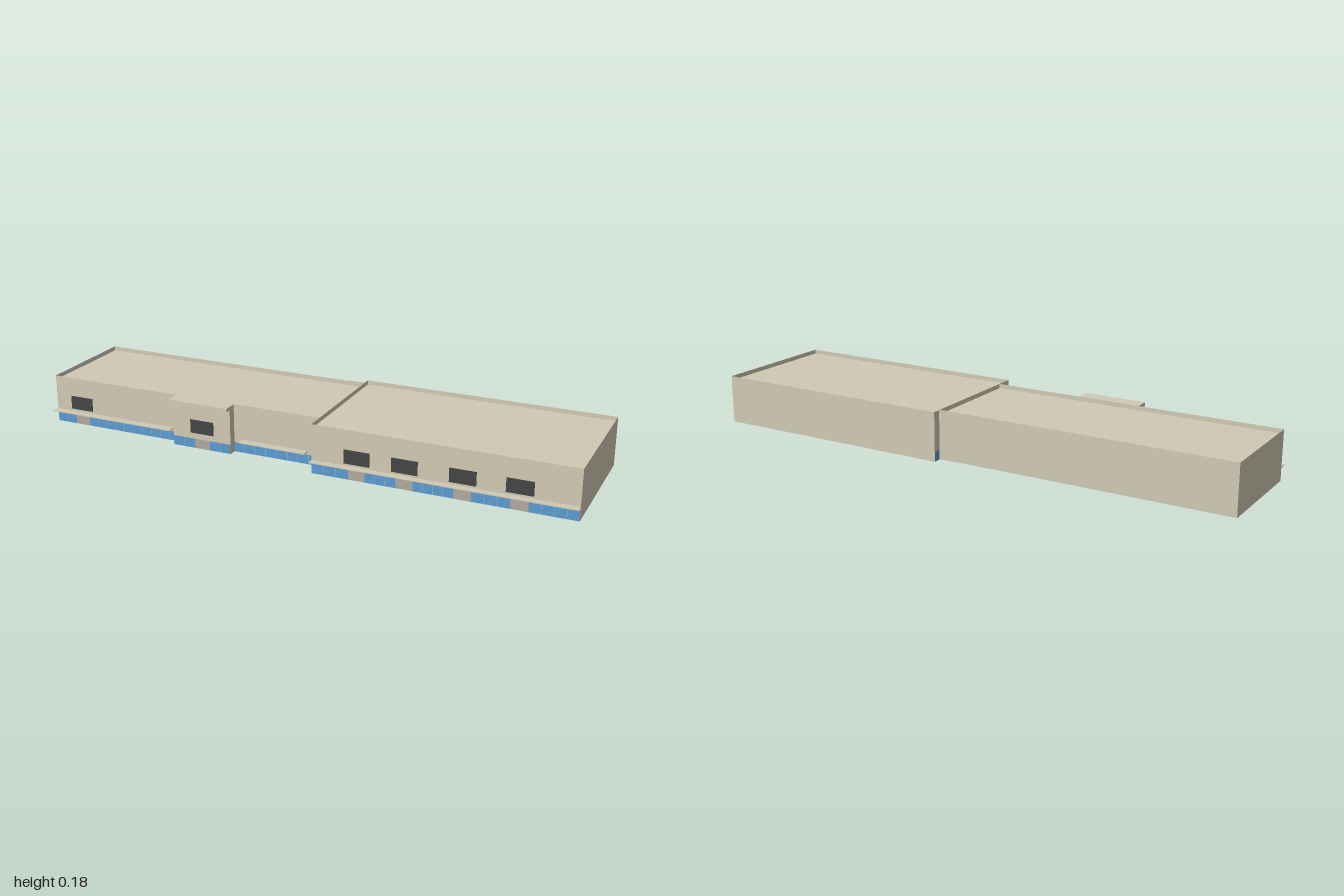
import * as THREE from 'three';

const mat = (color) => new THREE.MeshStandardMaterial({ color, side: THREE.DoubleSide });

export function createModel() {
  const root = new THREE.Group();
  const wallMat = mat(0xd0c9b3), glassMat = mat(0x5a9bd0), signMat = mat(0x444444);
  const doorMat = mat(0xb0aaa0), frameMat = mat(0x9ab4c8);
  const H = 0.178, GLASS = 0.035, ROOF = 0.162;

  function add(name, geo, material, x, y, z, parent = root) {
    const m = new THREE.Mesh(geo, material);
    m.name = name;
    m.position.set(x, y, z);
    parent.add(m);
    return m;
  }
  // Box given by its two extreme corners
  function box(name, material, x0, x1, y0, y1, z0, z1, parent) {
    return add(name, new THREE.BoxGeometry(x1 - x0, y1 - y0, z1 - z0), material,
      (x0 + x1) / 2, (y0 + y1) / 2, (z0 + z1) / 2, parent);
  }
  // Thin upright panel between two plan points, facing outward
  function panel(name, material, x0, z0, x1, z1, y0, y1, parent) {
    const m = add(name, new THREE.PlaneGeometry(Math.hypot(x1 - x0, z1 - z0), y1 - y0), material,
      (x0 + x1) / 2, (y0 + y1) / 2, (z0 + z1) / 2, parent);
    m.rotation.y = -Math.atan2(z1 - z0, x1 - x0);
    return m;
  }
  function roof(name, x0, x1, z0, z1, y, parent) {
    const m = add(name, new THREE.PlaneGeometry(x1 - x0, z1 - z0), wallMat, (x0 + x1) / 2, y, (z0 + z1) / 2, parent);
    m.rotation.x = -Math.PI / 2;
    return m;
  }
  // Front run: wall above, glazing with mullions and doors below
  function shopfront(x0, x1, z, doors, parent) {
    panel('frontWall', wallMat, x0, z, x1, z, GLASS, H, parent);
    let from = x0;
    for (const d of [...doors, null]) {
      const to = d === null ? x1 : d - 0.03;
      panel('glazing', glassMat, from, z, to, z, 0, GLASS, parent);
      const n = Math.max(1, Math.round((to - from) / 0.04));
      for (let i = 1; i < n; i++) {
        const x = from + (to - from) * i / n;
        box('mullion', frameMat, x - 0.001, x + 0.001, 0, GLASS, z - 0.0005, z + 0.0005, parent);
      }
      if (d !== null) {
        panel('door', doorMat, d - 0.03, z, d + 0.03, z, 0, GLASS, parent);
        from = d + 0.03;
      }
    }
  }
  function sign(x, z, parent) {
    box('signPanel', signMat, x - 0.046, x + 0.046, 0.057, 0.107, z - 0.001, z + 0.002, parent);
  }
  function awning(x0, x1, z0, z1, parent) {
    box('awning', wallMat, x0, x1, 0.046, 0.049, z0, z1, parent);
  }

  // Large right hand block
  const big = new THREE.Group();
  big.name = 'largeBlock';
  root.add(big);
  const bigSigns = [0.245, 0.415, 0.615, 0.805];
  shopfront(0.08, 1, 0.235, bigSigns, big);
  bigSigns.forEach((x) => sign(x, 0.235, big));
  panel('sideWall', wallMat, 1, 0.235, 1, -0.26, 0, H, big);
  panel('backWall', wallMat, 1, -0.26, 0.08, -0.26, 0, H, big);
  panel('innerSideWall', wallMat, 0.08, -0.26, 0.08, 0.235, GLASS, H, big);
  panel('sideGlazing', glassMat, 0.08, -0.26, 0.08, 0.235, 0, GLASS, big);
  for (let i = 1; i < 12; i++) {
    const z = -0.26 + 0.495 * i / 12;
    box('sideMullion', frameMat, 0.0795, 0.0805, 0, GLASS, z - 0.001, z + 0.001, big);
  }
  roof('roof', 0.08, 1, -0.26, 0.235, ROOF, big);
  awning(0.08, 1, 0.235, 0.26, big);

  // Long left hand block
  const long = new THREE.Group();
  long.name = 'longBlock';
  root.add(long);
  shopfront(-1, -0.48, 0.17, [-0.89], long);
  shopfront(-0.25, 0.08, 0.17, [], long);
  sign(-0.89, 0.17, long);
  panel('sideWall', wallMat, -1, -0.225, -1, 0.17, 0, H, long);
  panel('backWall', wallMat, 0.08, -0.225, -1, -0.225, 0, H, long);
  panel('backReturn', wallMat, 0.08, -0.23, 0.02, -0.23, 0, H, long);
  roof('roof', -1, 0.08, -0.225, 0.17, ROOF, long);
  panel('parapet', wallMat, -0.48, 0.17, -0.25, 0.17, ROOF, H, long);
  awning(-1, -0.5, 0.17, 0.2, long);
  awning(-0.22, 0.035, 0.17, 0.2, long);

  // Projecting entrance with its overhanging cap
  const entrance = new THREE.Group();
  entrance.name = 'entrance';
  root.add(entrance);
  shopfront(-0.48, -0.25, 0.2, [-0.363], entrance);
  sign(-0.363, 0.2, entrance);
  for (const x of [-0.48, -0.25]) panel('entranceSide', wallMat, x, 0.2, x, 0.17, 0, H, entrance);
  box('entranceCap', wallMat, -0.481, -0.249, 0.165, H, 0.171, 0.225, entrance);

  return root;
}
